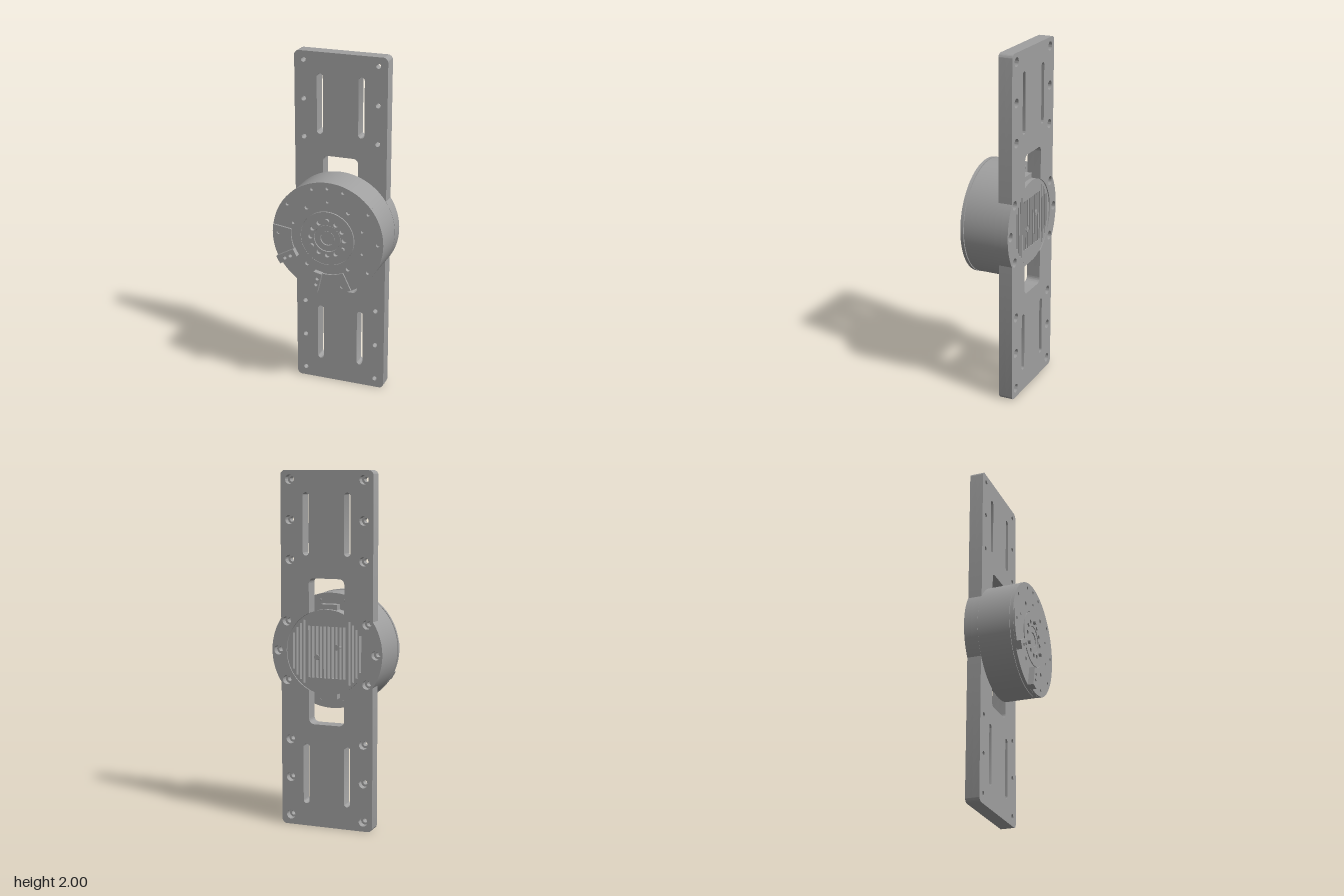
import * as THREE from 'three';
import { toCreasedNormals } from 'three/addons/utils/BufferGeometryUtils.js';

const rad = THREE.MathUtils.degToRad;

// Closed outlines
function circle(x, y, r) {
  const p = new THREE.Path();
  p.absarc(x, y, r, 0, Math.PI * 2, false);
  return p;
}
function slot(x, y, halfLength, r) {
  const p = new THREE.Path();
  p.absarc(x, y + halfLength - r, r, 0, Math.PI, false);
  p.absarc(x, y - halfLength + r, r, Math.PI, Math.PI * 2, false);
  p.closePath();
  return p;
}
function rect(x0, y0, x1, y1) {
  return new THREE.Path([[x0, y0], [x1, y0], [x1, y1], [x0, y1]].map(([x, y]) => new THREE.Vector2(x, y)));
}
// Rounded rectangle whose long sides bulge into a circle
function bulgedRect(Target, w, h, corner, r) {
  const a = Math.acos(w / r), s = new Target();
  s.absarc(0, 0, r, -a, a, false);
  s.absarc(w - corner, h - corner, corner, 0, Math.PI / 2, false);
  s.absarc(-w + corner, h - corner, corner, Math.PI / 2, Math.PI, false);
  s.absarc(0, 0, r, Math.PI - a, Math.PI + a, false);
  s.absarc(-w + corner, -h + corner, corner, Math.PI, Math.PI * 1.5, false);
  s.absarc(w - corner, -h + corner, corner, Math.PI * 1.5, Math.PI * 2, false);
  s.closePath();
  return s;
}
const polar = (r, deg) => [r * Math.cos(rad(deg)), r * Math.sin(rad(deg))];

export function createModel() {
  const model = new THREE.Group();
  model.name = 'motorOnMountingPlate';
  model.position.y = 1;
  const root = new THREE.Group();
  root.add(model);

  const metal = new THREE.MeshStandardMaterial({ color: 0xa0a0a0 });
  metal.name = 'grey metal';

  function add(name, geometry, x = 0, y = 0, z = 0) {
    const mesh = new THREE.Mesh(geometry, metal);
    mesh.name = name;
    mesh.position.set(x, y, z);
    model.add(mesh);
    return mesh;
  }
  function extrude(name, outline, holes, z0, z1, segments = 16) {
    const shape = outline instanceof THREE.Shape ? outline : new THREE.Shape(outline.getPoints(40));
    shape.holes.push(...holes);
    const g = new THREE.ExtrudeGeometry(shape, { depth: z1 - z0, bevelEnabled: false, curveSegments: segments });
    return add(name, toCreasedNormals(g, 0.5), 0, 0, z0);
  }
  function disc(name, r, z0, z1, x = 0, y = 0, segments = 72) {
    const g = new THREE.CylinderGeometry(r, r, z1 - z0, segments).rotateX(Math.PI / 2);
    return add(name, g, x, y, (z0 + z1) / 2);
  }

  // Mounting plate: small holes in the front layer, counterbores in the back layer
  const plateHoles = [], flangeHoles = [];
  for (const sx of [-1, 1]) {
    for (const y of [0.95, 0.73, 0.51, -0.505, -0.725, -0.945]) plateHoles.push([sx * 0.218, y]);
    for (const a of [-35, 0, 35]) {
      const [x, y] = polar(0.29, a);
      flangeHoles.push([sx * x, y]);
    }
  }
  const openings = () => [
    bulgedRect(THREE.Path, 0.105, 0.41, 0.03, 0.24),
    ...[-1, 1].flatMap(sx => [0.707, -0.697].map(y => slot(sx * 0.122, y, 0.173, 0.018))),
  ];
  const bore = r => ([x, y]) => circle(x, y, r);
  const plate = () => bulgedRect(THREE.Shape, 0.272, 1, 0.028, 0.327);
  extrude('plateFront', plate(), [...openings(), ...[...plateHoles, ...flangeHoles].map(bore(0.014))], -0.12, -0.08);
  extrude('plateBack', plate(), [...openings(), ...[...plateHoles, ...flangeHoles].map(bore(0.026))], -0.16, -0.12);

  // Motor housing with a groove below the front cover
  disc('housing', 0.326, -0.08, 0.104);
  disc('coverGroove', 0.32, 0.104, 0.108);

  // Front cover with screw holes
  const coverHoles = [circle(0, 0, 0.16)];
  for (const a of [0, 36, 72, 90, 108, 144, 324]) coverHoles.push(circle(...polar(0.295, a), 0.01));
  for (const a of [54, 126, 234, 306]) coverHoles.push(circle(...polar(0.208, a), 0.013));
  for (const a of [18, 90, 162, 342]) coverHoles.push(circle(...polar(0.215, a), 0.008));
  extrude('frontCover', circle(0, 0, 0.328), coverHoles, 0.108, 0.126, 48);

  // Output hub: bolt ring, sunken core and three locating pins
  const boltHoles = [];
  for (let a = 0; a < 360; a += 30) if (![90, 210, 330].includes(a)) boltHoles.push(circle(...polar(0.1, a), 0.014));
  extrude('hubRing', circle(0, 0, 0.157), [circle(0, 0, 0.079), ...boltHoles], 0.105, 0.129, 16);
  extrude('hubCore', circle(0, 0, 0.076), [circle(0, 0, 0.042)], 0.105, 0.126, 32);
  disc('hubCentre', 0.039, 0.105, 0.122, 0, 0, 32);
  for (const a of [90, 210, 330]) {
    const [x, y] = polar(0.106, a);
    disc('locatingPin', 0.013, 0.12, 0.145, x, y, 16);
  }

  // Curved cable pads, each with a terminal block at one end
  const pads = [
    { from: 172, to: 207, block: 209, screws: [180] },
    { from: 256, to: 296, block: 257, screws: [288] },
  ];
  for (const { from, to, block, screws } of pads) {
    const s = new THREE.Shape();
    s.absarc(0, 0, 0.326, rad(from), rad(to), false);
    s.absarc(0, 0, 0.215, rad(to), rad(from), true);
    s.closePath();
    extrude('cablePad', s, screws.map(a => circle(...polar(0.292, a), 0.01)), 0.126, 0.136);
    const outline = new THREE.Shape(rect(0.21, -0.024, 0.327, 0.024).getPoints());
    const holes = [[0.245, 0.006], [0.283, 0.006]].map(bore(0.01));
    extrude('terminalBlock', outline, holes, 0.126, 0.159).rotation.z = rad(block);
  }

  // Heat sink at the back: fins are left between rows of grooves
  disc('heatSinkBase', 0.239, -0.12, -0.08);
  const grooves = [];
  for (let i = 0; i < 10; i++) {
    const x = -0.104 + i * 0.0231;
    grooves.push(rect(x - 0.007, -0.145, x + 0.007, 0.145));
  }
  for (const sx of [-1, 1]) for (let i = 0; i < 4; i++) {
    const x = sx * (0.134 + i * 0.021), h = Math.sqrt(0.222 ** 2 - x * x);
    grooves.push(rect(x - 0.006, -h, x + 0.006, h));
  }
  extrude('heatSinkFins', circle(0, 0, 0.239), grooves, -0.155, -0.12, 48);

  // Screw bosses among the fins and small sockets facing the plate window
  for (const [x, y] of [[-0.06, 0.03], [0.06, -0.03]]) disc('finScrew', 0.016, -0.157, -0.12, x, y, 16);
  for (const sy of [-1, 1]) {
    add('rearSocket', new THREE.BoxGeometry(0.1, 0.03, 0.05), 0, sy * 0.25, -0.105);
    for (const sx of [-1, 1]) disc('rearScrew', 0.009, -0.085, -0.08, sx * 0.07, sy * 0.285, 12);
  }

  return root;
}
